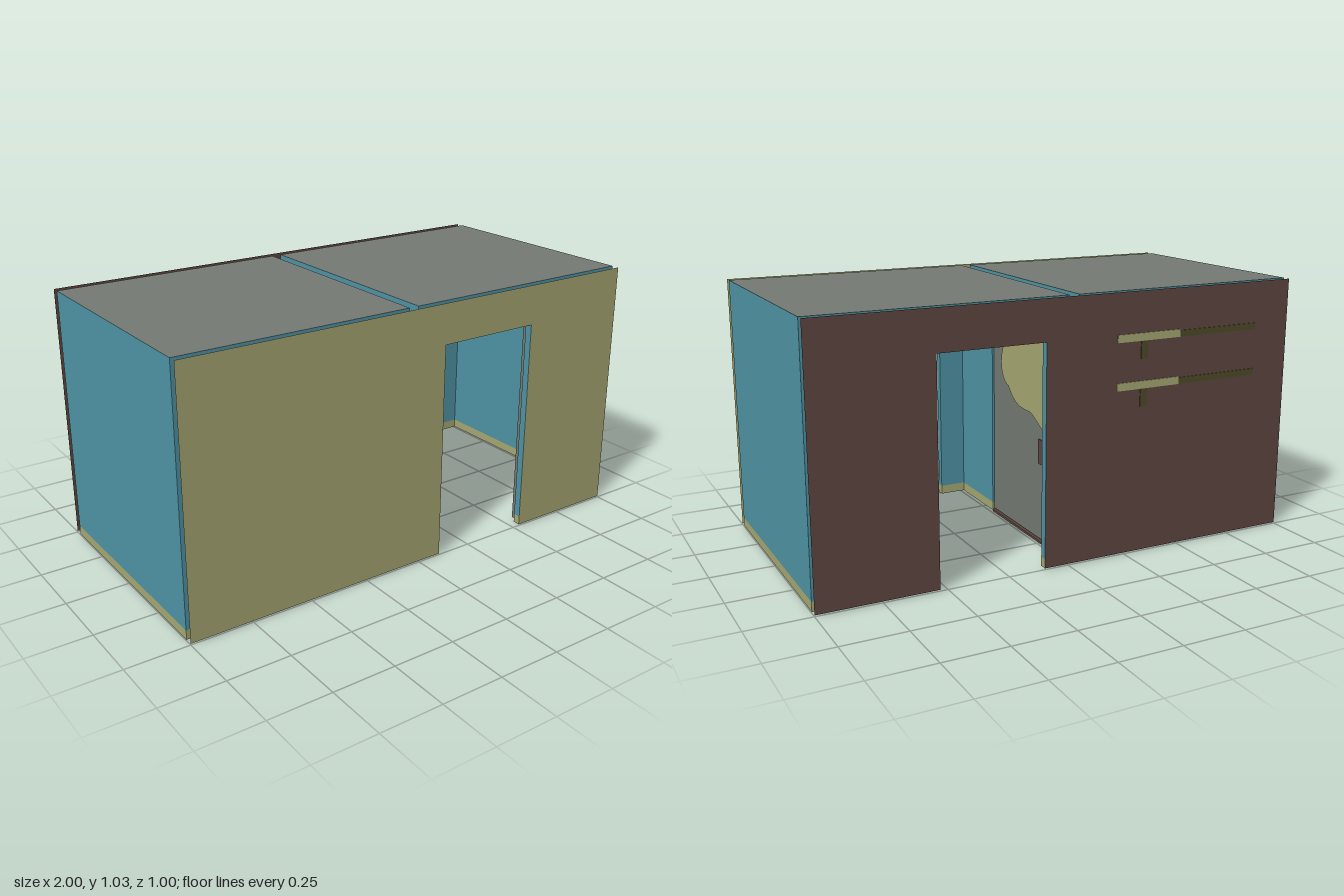
import * as THREE from 'three';

const mat = (name, color) => {
  const m = new THREE.MeshStandardMaterial({ color, side: THREE.DoubleSide });
  m.name = name;
  return m;
};

export function createModel() {
  const root = new THREE.Group();
  root.name = 'twoRoomCabin';

  const teal = mat('tealWall', 0x4f93a4);
  const olive = mat('paleOlive', 0xa6a872);
  const brown = mat('darkBrown', 0x5e463f);
  const grey = mat('grey', 0x747a74);
  const darkOlive = mat('darkOlive', 0x4f4a28);

  const Y0 = 0.005, SKIRT = 0.042, TOP = 1.035;   // wall heights
  const IN = 0.47, OUT = 0.5;                     // inner and outer wall planes
  const DOOR = [0.1, 0.53], INNER = [-0.28, 0.17], HEAD = 0.875;
  const MID = [-0.05, -0.01];                     // faces of the partition

  const add = (parent, name, geo, material, x = 0, y = 0, z = 0) => {
    const m = new THREE.Mesh(geo, material);
    m.name = name;
    m.position.set(x, y, z);
    parent.add(m);
    return m;
  };

  // Flat sheet from a to b and y0 to y1, with an optional door notch cut from below
  const sheet = (a, b, y0, y1, door) => {
    const pts = [[a, y0]];
    if (door) pts.push([door[0], y0], [door[0], HEAD], [door[1], HEAD], [door[1], y0]);
    pts.push([b, y0], [b, y1], [a, y1]);
    return new THREE.ShapeGeometry(new THREE.Shape(pts.map(p => new THREE.Vector2(...p))));
  };

  // Sheets that lie across z (axis 'z') or across x (axis 'x')
  const place = (parent, name, geo, material, axis, at) => {
    const m = add(parent, name, geo, material);
    m.position[axis] = at;
    if (axis === 'x') m.rotation.y = -Math.PI / 2;
    return m;
  };

  // Room wall with its skirting band
  const wall = (parent, name, axis, at, a, b, door) => {
    const g = new THREE.Group();
    g.name = name;
    parent.add(g);
    place(g, 'wallFace', sheet(a, b, SKIRT, TOP, door), teal, axis, at);
    const spans = door ? [[a, door[0]], [door[1], b]] : [[a, b]];
    for (const [s, e] of spans) place(g, 'skirting', sheet(s, e, Y0, SKIRT), olive, axis, at);
  };

  // Door lining: two jambs and a head between a pair of wall planes
  const lining = (name, axis, p, q, door) => {
    const g = new THREE.Group();
    g.name = name;
    root.add(g);
    const other = axis === 'z' ? 'x' : 'z';
    for (const d of door) {
      place(g, 'jamb', sheet(p, q, SKIRT, HEAD), teal, other, d);
      place(g, 'jambSkirting', sheet(p, q, Y0, SKIRT), olive, other, d);
    }
    const across = door[1] - door[0], deep = q - p;
    const size = axis === 'z' ? [across, deep] : [deep, across];
    const geo = new THREE.PlaneGeometry(...size).rotateX(Math.PI / 2);
    const head = add(g, 'doorHead', geo, teal, 0, HEAD, 0);
    head.position[axis] = (p + q) / 2;
    head.position[other] = (door[0] + door[1]) / 2;
  };

  // Two rooms, each an open-bottomed shell with its own ceiling
  const rooms = [
    { name: 'rightRoom', a: -1, b: MID[0], door: null, innerFace: MID[0] },
    { name: 'leftRoom', a: MID[1], b: 1, door: DOOR, innerFace: MID[1] },
  ];
  for (const r of rooms) {
    const g = new THREE.Group();
    g.name = r.name;
    root.add(g);
    wall(g, 'frontInnerWall', 'z', IN, r.a, r.b, r.door);
    wall(g, 'backInnerWall', 'z', -IN, r.a, r.b, r.door);
    for (const x of [r.a, r.b])
      wall(g, x === r.innerFace ? 'partitionFace' : 'endWall', 'x', x, -IN, IN,
        x === r.innerFace ? INNER : null);
    add(g, 'ceiling', new THREE.PlaneGeometry(r.b - r.a, 2 * IN).rotateX(-Math.PI / 2),
      grey, (r.a + r.b) / 2, TOP, 0);
  }

  // Outer cladding sheets
  place(root, 'frontCladding', sheet(-1, 1, Y0, TOP, DOOR), olive, 'z', OUT);
  place(root, 'backCladding', sheet(-1, 1, Y0, TOP, DOOR), brown, 'z', -OUT);

  // Linings of the three doorways
  lining('frontDoorLining', 'z', IN, OUT, DOOR);
  lining('backDoorLining', 'z', -OUT, -IN, DOOR);
  lining('partitionDoorLining', 'x', MID[0], MID[1], INNER);

  // Closed door leaf in the partition, with worn paint and a handle
  const leaf = new THREE.Group();
  leaf.name = 'partitionDoor';
  root.add(leaf);
  add(leaf, 'doorLeaf', new THREE.BoxGeometry(0.025, 0.85, 0.445), grey, -0.03, 0.44, -0.055);
  const patch = new THREE.Shape();
  patch.moveTo(-0.27, 0.86);
  patch.lineTo(0.05, 0.86);
  patch.bezierCurveTo(0.13, 0.86, 0.13, 0.78, 0.07, 0.76);
  patch.bezierCurveTo(0.12, 0.68, 0.09, 0.6, 0.03, 0.59);
  patch.bezierCurveTo(-0.04, 0.5, -0.12, 0.53, -0.17, 0.52);
  patch.lineTo(-0.27, 0.47);
  patch.closePath();
  for (const x of [-0.0455, -0.0145])
    place(leaf, 'wornPaint', new THREE.ShapeGeometry(patch), olive, 'x', x);
  add(leaf, 'handlePlate', new THREE.BoxGeometry(0.034, 0.1, 0.04), brown, -0.03, 0.38, -0.25);
  add(leaf, 'threshold', new THREE.BoxGeometry(0.04, 0.01, 0.45), brown, -0.03, 0.005, -0.055);

  // Front door leaf folded back against the inside of the wall
  add(root, 'frontDoorLeaf', new THREE.BoxGeometry(0.42, 0.85, 0.015), grey, 0.75, 0.44, 0.455);

  // Painted marks on the back cladding
  const marks = new THREE.Group();
  marks.name = 'backWallMarks';
  root.add(marks);
  for (const y of [0.86, 0.675]) {
    const mark = (name, w, h, x, yy, m) =>
      add(marks, name, new THREE.BoxGeometry(w, h, 0.003), m, x, yy, -OUT - 0.0015);
    mark('lightStripe', 0.28, 0.03, -0.34, y, olive);
    mark('darkStripe', 0.36, 0.025, -0.66, y - 0.002, darkOlive);
    mark('drip', 0.03, 0.07, -0.32, y - 0.05, darkOlive);
  }
  return root;
}
